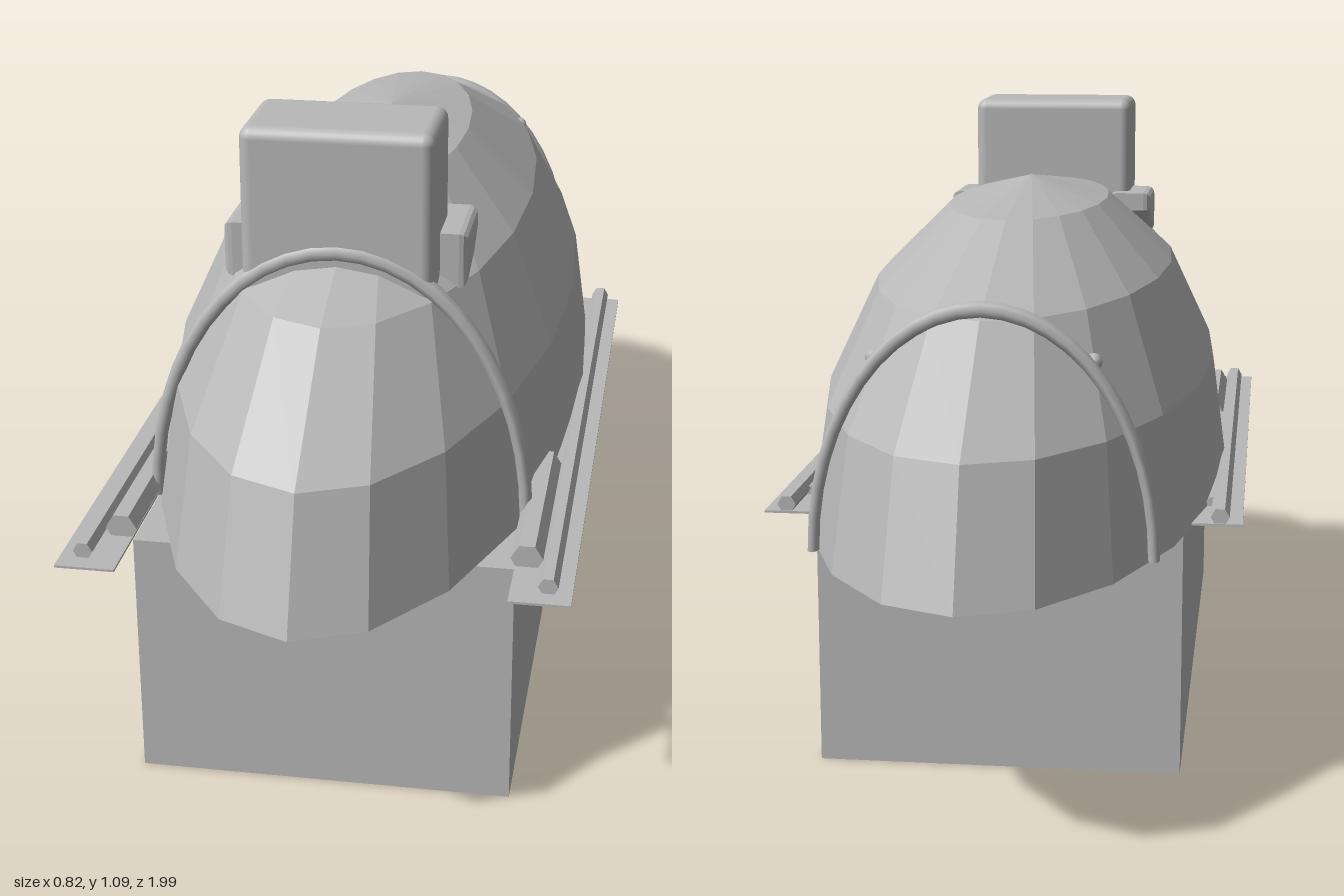
import * as THREE from 'three';
import { RoundedBoxGeometry } from 'three/addons/geometries/RoundedBoxGeometry.js';

export function createModel() {
  const model = new THREE.Group();
  const grey = new THREE.MeshStandardMaterial({ color: 0xb8b8b8 });
  grey.name = 'grey';

  function add(name, geometry, x = 0, y = 0, z = 0) {
    const mesh = new THREE.Mesh(geometry, grey);
    mesh.name = name;
    mesh.position.set(x, y, z);
    model.add(mesh);
    return mesh;
  }
  function faceted(geometry) {
    const g = geometry.toNonIndexed();
    g.computeVertexNormals();
    return g;
  }

  const floor = 0.43, rx = 0.372, ry = 0.545, rz = 0.993;

  // Base block
  add('base', new THREE.BoxGeometry(0.624, floor, 1.21), 0, floor / 2, 0.115);

  // Faceted half-ellipsoid shell with a closed underside
  const dome = new THREE.SphereGeometry(1, 20, 4, 0, Math.PI * 2, 0, Math.PI / 2).scale(rx, ry, rz);
  add('dome', faceted(dome), 0, floor, 0);
  const underside = new THREE.CircleGeometry(1, 20).rotateX(Math.PI / 2).scale(rx, 1, rz);
  add('domeUnderside', underside, 0, floor, 0);

  // Hoops that follow the shell's cross-section
  for (const [name, z] of [['frontHoop', 0.552], ['rearHoop', -0.683]]) {
    const s = Math.sqrt(1 - (z / rz) ** 2);
    const hoop = new THREE.TorusGeometry(1, 0.035, 8, 24, Math.PI);
    hoop.scale(rx * s + 0.004, ry * s, 0.018 / 0.035);
    add(name, hoop, 0, floor + 0.005, z);
  }

  // Head block
  add('headBlock', new RoundedBoxGeometry(0.314, 0.29, 0.185, 3, 0.02), 0, 0.945, 0.472);

  // Side pod profile in (z, y), extruded across x with a soft bevel
  const pod = new THREE.Shape([
    [0.475, 0.89], [0.475, 0.828], [0.40, 0.848], [0.355, 0.878], [0.355, 0.89],
  ].map(([z, y]) => new THREE.Vector2(-z, y)));
  const podGeometry = new THREE.ExtrudeGeometry(pod, {
    depth: 0.056, bevelEnabled: true, bevelSize: 0.015, bevelThickness: 0.015, bevelSegments: 3,
  });
  podGeometry.translate(0, 0, -0.028).rotateY(Math.PI / 2);

  // Six-sided rod running along z
  function rod(name, r, x, y, z0, z1) {
    const g = new THREE.CylinderGeometry(r, r, z1 - z0, 6).rotateX(Math.PI / 2).rotateZ(Math.PI / 2);
    add(name, faceted(g), x, y, (z0 + z1) / 2);
  }

  for (const [side, s] of [['left', 1], ['right', -1]]) {
    add(side + 'Pod', podGeometry, s * 0.16, 0, 0);
    add(side + 'Ledge', new THREE.BoxGeometry(0.098, 0.004, 1.29), s * 0.361, 0.434, 0.187);
    rod(side + 'LongRail', 0.016, s * 0.372, 0.447, -0.455, 0.80);
    rod(side + 'FrontRail', 0.026, s * 0.331, 0.45, 0.37, 0.72);
    rod(side + 'MiddleRail', 0.013, s * 0.357, 0.44, -0.34, 0.37);
    add(side + 'HoopKnob', new THREE.SphereGeometry(0.014, 8, 6), s * 0.175, 0.748, -0.662);
  }
  return model;
}
